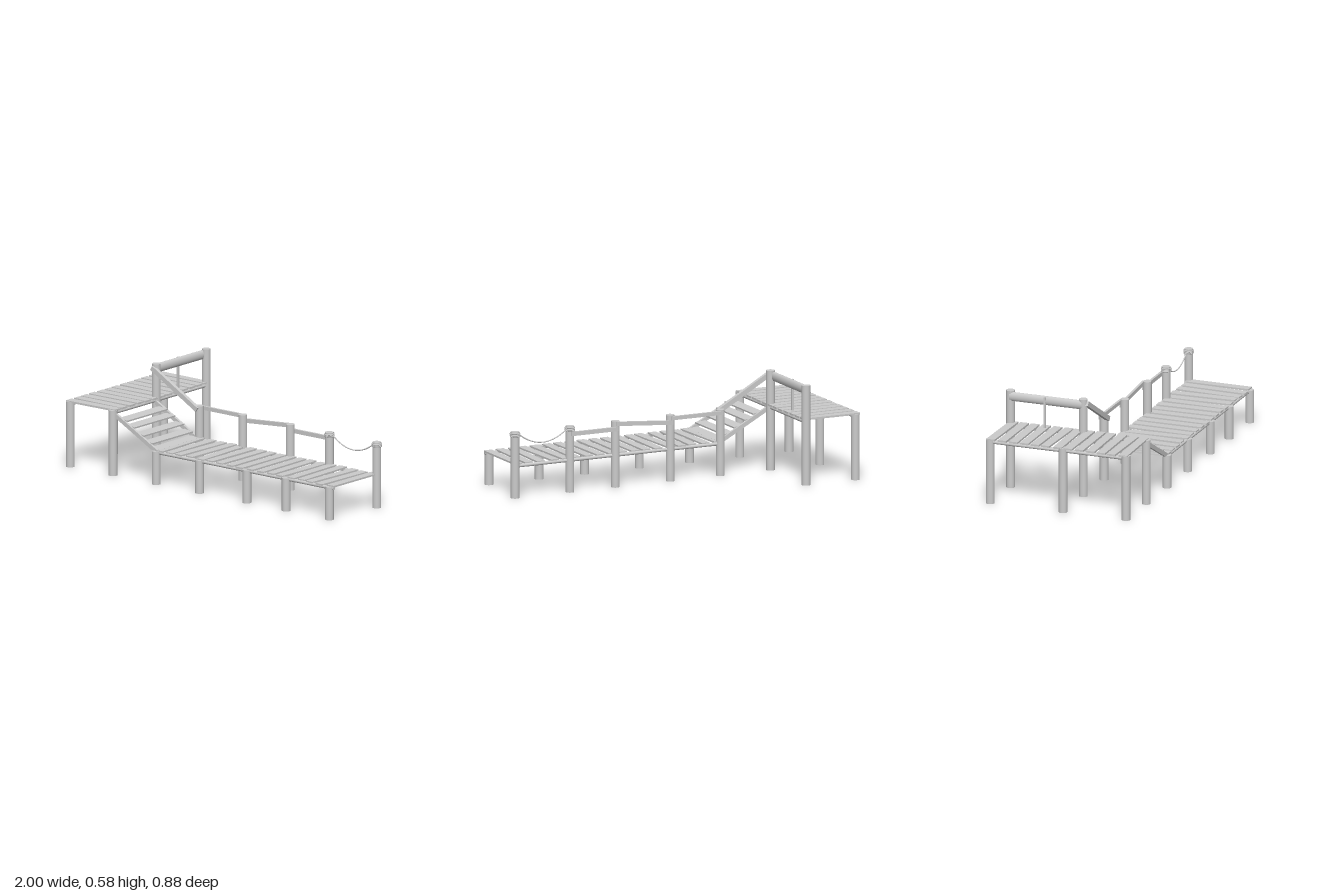
import * as THREE from 'three';

const material = new THREE.MeshStandardMaterial({ color: 0xcccccc });
const V = (x, y, z) => new THREE.Vector3(x, y, z);

export function createModel() {
  const model = new THREE.Group();
  model.name = 'boardwalk';

  // seeded wobble in -1..1 for weathered planks
  let seed = 7;
  const wobble = () => {
    seed = (seed * 16807) % 2147483647;
    return (seed / 2147483647) * 2 - 1;
  };

  const add = (name, geometry, x = 0, y = 0, z = 0) => {
    const mesh = new THREE.Mesh(geometry, material);
    mesh.name = name;
    mesh.position.set(x, y, z);
    model.add(mesh);
    return mesh;
  };

  const post = (name, x, z, height) =>
    add(name, new THREE.CylinderGeometry(0.025, 0.025, height, 20), x, height / 2, z);

  // geometry along +z, stretched between two points
  const span = (name, a, b, geometry) => {
    const mesh = add(name, geometry);
    mesh.position.copy(a).add(b).multiplyScalar(0.5);
    mesh.lookAt(b);
    return mesh;
  };
  const board = (name, a, b, width, height) =>
    span(name, a, b, new THREE.BoxGeometry(width, height, a.distanceTo(b)));
  const log = (name, a, b, rx, ry = rx) =>
    span(name, a, b, new THREE.CylinderGeometry(1, 1, a.distanceTo(b), 16)
      .rotateX(Math.PI / 2).scale(rx, ry, 1));

  // upper platform posts: two of the inner row rise to carry the handrail
  for (const z of [-0.415, 0.03, 0.415]) {
    post('platformOuterPost', -0.975, z, 0.383);
    post('platformInnerPost', -0.66, z, z < 0.2 ? 0.58 : 0.383);
  }

  // upper platform beams and planks
  for (const x of [-0.975, -0.658]) log('platformBeam', V(x, 0.367, 0.42), V(x, 0.367, -0.42), 0.011);
  log('platformCrossBeam', V(-0.975, 0.367, 0.03), V(-0.66, 0.367, 0.03), 0.01);
  for (let i = 0; i < 13; i++) {
    const plank = add('platformPlank', new THREE.BoxGeometry(0.355, 0.011, 0.051),
      -0.817 + wobble() * 0.004, 0.383 + wobble() * 0.001, -0.402 + i * 0.0668);
    plank.rotation.y = wobble() * 0.03;
  }

  // platform handrail with its thin picket
  log('platformHandrail', V(-0.672, 0.547, 0.03), V(-0.672, 0.547, -0.415), 0.016, 0.027);
  add('picket', new THREE.BoxGeometry(0.012, 0.19, 0.012), -0.686, 0.475, -0.195);

  // ramp stair: stringers, treads and sloping handrail
  for (const z of [0.045, 0.41]) board('stairStringer', V(-0.66, 0.363, z), V(-0.335, 0.188, z), 0.015, 0.024);
  [[-0.59, 0.333], [-0.535, 0.303], [-0.467, 0.266], [-0.403, 0.231], [-0.355, 0.2]].forEach(([x, y]) => {
    const tread = add('stairTread', new THREE.BoxGeometry(0.062, 0.009, 0.36), x, y, 0.228);
    tread.rotation.z = -0.1;
  });
  board('stairHandrail', V(-0.67, 0.558, 0.053), V(-0.335, 0.366, 0.053), 0.022, 0.028);

  // lower walkway posts
  const backX = [-0.34, -0.02, 0.33, 0.62, 0.97];
  const frontX = [-0.34, -0.02, 0.33, 0.62, 0.94];
  backX.forEach((x) => post('walkwayBackPost', x, 0.03, 0.385));
  frontX.forEach((x) => post('walkwayFrontPost', x, 0.415, 0.194));

  // lower walkway beams and planks
  for (const z of [0.03, 0.41]) log('walkwayBeam', V(-0.34, 0.185, z), V(0.97, 0.185, z), 0.01);
  for (let i = 0; i < 18; i++) {
    const plank = add('walkwayPlank', new THREE.BoxGeometry(0.05, 0.01, 0.39),
      -0.318 + i * 0.0745, 0.196 + wobble() * 0.001, 0.223 + wobble() * 0.005);
    plank.rotation.y = wobble() * 0.055;
  }

  // walkway handrail boards on the back of the posts
  board('walkwayHandrail', V(-0.345, 0.369, 0.006), V(-0.015, 0.369, 0.006), 0.014, 0.022);
  board('walkwayHandrail', V(-0.025, 0.344, 0.006), V(0.335, 0.372, 0.006), 0.014, 0.024);
  board('walkwayHandrail', V(0.325, 0.342, 0.006), V(0.625, 0.342, 0.006), 0.014, 0.024);

  // sagging rope and its coils around the last two posts
  const points = [];
  for (let i = 0; i <= 8; i++) {
    const t = i / 4 - 1;
    points.push(V(0.795 + t * 0.152, 0.308 + 0.06 * t * t, 0.026));
  }
  add('rope', new THREE.TubeGeometry(new THREE.CatmullRomCurve3(points), 32, 0.0035, 8));
  for (const x of [0.62, 0.97]) {
    for (let i = 0; i < 3; i++) {
      const coil = add('ropeCoil', new THREE.TorusGeometry(0.0265, 0.004, 8, 24), x, 0.36 + i * 0.0075, 0.03);
      coil.rotation.x = Math.PI / 2 + (i - 1) * 0.06;
    }
  }
  return model;
}
